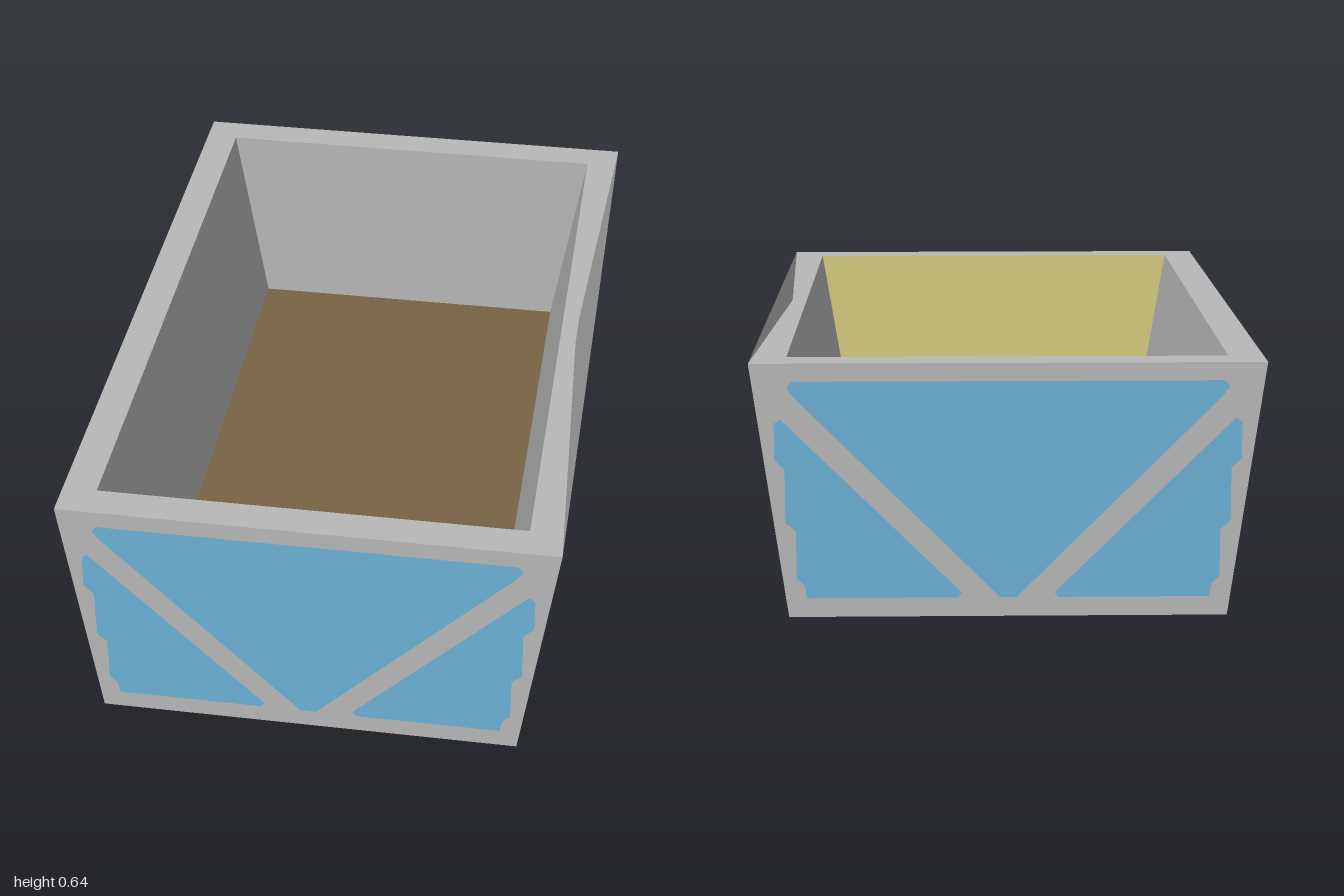
import * as THREE from 'three';

const H = 0.64, L = 1;           // height, half length
const BOT = 0.545, TOP = 0.635;  // outer half widths
const FLOOR = 0.09, IL = 0.91;   // inner floor height, inner half length
const IBOT = 0.457, ITOP = 0.547; // inner half widths

function material(name, color) {
  const m = new THREE.MeshStandardMaterial({ color, side: THREE.DoubleSide });
  m.name = name;
  return m;
}

const points = (list) => list.map(([x, y]) => new THREE.Vector2(x, y));

// Flat four-cornered panel, corners counter-clockwise seen from its front
function quad(a, b, c, d) {
  const g = new THREE.BufferGeometry();
  g.setAttribute('position', new THREE.Float32BufferAttribute([...a, ...b, ...c, ...d], 3));
  g.setIndex([0, 1, 2, 0, 2, 3]);
  g.computeVertexNormals();
  return g;
}

export function createModel() {
  const grey = material('grey', 0xb8b8b8);
  const blue = material('blue', 0x6db2d7);
  const brown = material('brown', 0x786444);
  const yellow = material('yellow', 0xd4cd80);

  const model = new THREE.Group();
  model.name = 'trough';
  const add = (name, geometry, mat, parent = model) => {
    const mesh = new THREE.Mesh(geometry, mat);
    mesh.name = name;
    parent.add(mesh);
    return mesh;
  };

  // Blue fields between the V-shaped braces
  const centre = points([
    [-0.02, 0.048], [0.02, 0.048], [0.525, 0.555], [0.543, 0.58], [0.53, 0.595],
    [-0.53, 0.595], [-0.543, 0.58], [-0.525, 0.555],
  ]);
  const sideField = [
    [-0.575, 0.49], [-0.575, 0.4], [-0.55, 0.375], [-0.55, 0.24], [-0.525, 0.22],
    [-0.525, 0.1], [-0.505, 0.08], [-0.5, 0.048], [-0.125, 0.048], [-0.115, 0.06], [-0.56, 0.502],
  ];
  const fields = [
    centre,
    points(sideField),
    points(sideField.map(([x, y]) => [-x, y]).reverse()),
  ];

  // Outer ends: grey frame with the blue fields let in flush
  for (const [name, turn] of [['frontEnd', 0], ['backEnd', Math.PI]]) {
    const end = new THREE.Group();
    end.name = name;
    end.rotation.y = turn;
    const frame = new THREE.Shape(points([[-BOT, 0], [BOT, 0], [TOP, H], [-TOP, H]]));
    frame.holes = fields.map((f) => new THREE.Path(f));
    add('endFrame', new THREE.ShapeGeometry(frame), grey, end).position.z = L;
    for (const f of fields) {
      add('endField', new THREE.ShapeGeometry(new THREE.Shape(f)), blue, end).position.z = L;
    }
    model.add(end);
  }

  // Sloping long walls, outside and inside
  for (const [side, turn] of [['left', 0], ['right', Math.PI]]) {
    add(side + 'OuterWall',
      quad([BOT, 0, L], [BOT, 0, -L], [TOP, H, -L], [TOP, H, L]), grey).rotation.y = turn;
    add(side + 'InnerWall',
      quad([IBOT, FLOOR, -IL], [IBOT, FLOOR, IL], [ITOP, H, IL], [ITOP, H, -IL]), grey).rotation.y = turn;
  }

  // Inner end walls: yellow at the front, grey at the back
  for (const [name, mat, turn] of [['frontInnerWall', yellow, 0], ['backInnerWall', grey, Math.PI]]) {
    add(name,
      quad([IBOT, FLOOR, IL], [-IBOT, FLOOR, IL], [-ITOP, H, IL], [ITOP, H, IL]), mat).rotation.y = turn;
  }

  // Floor and underside
  add('floor', quad([-IBOT, FLOOR, IL], [IBOT, FLOOR, IL], [IBOT, FLOOR, -IL], [-IBOT, FLOOR, -IL]), brown);
  add('underside', quad([-BOT, 0, -L], [BOT, 0, -L], [BOT, 0, L], [-BOT, 0, L]), grey);

  // Rim, drawn in slightly at the middle of the left edge
  const rim = new THREE.Shape(points([[-TOP, -L], [TOP, -L], [0.587, 0], [TOP, L], [-TOP, L]]));
  rim.holes.push(new THREE.Path(points([[-ITOP, -IL], [-ITOP, IL], [ITOP, IL], [ITOP, -IL]])));
  const rimMesh = add('rim', new THREE.ShapeGeometry(rim), grey);
  rimMesh.rotation.x = -Math.PI / 2;
  rimMesh.position.y = H;

  return model;
}
